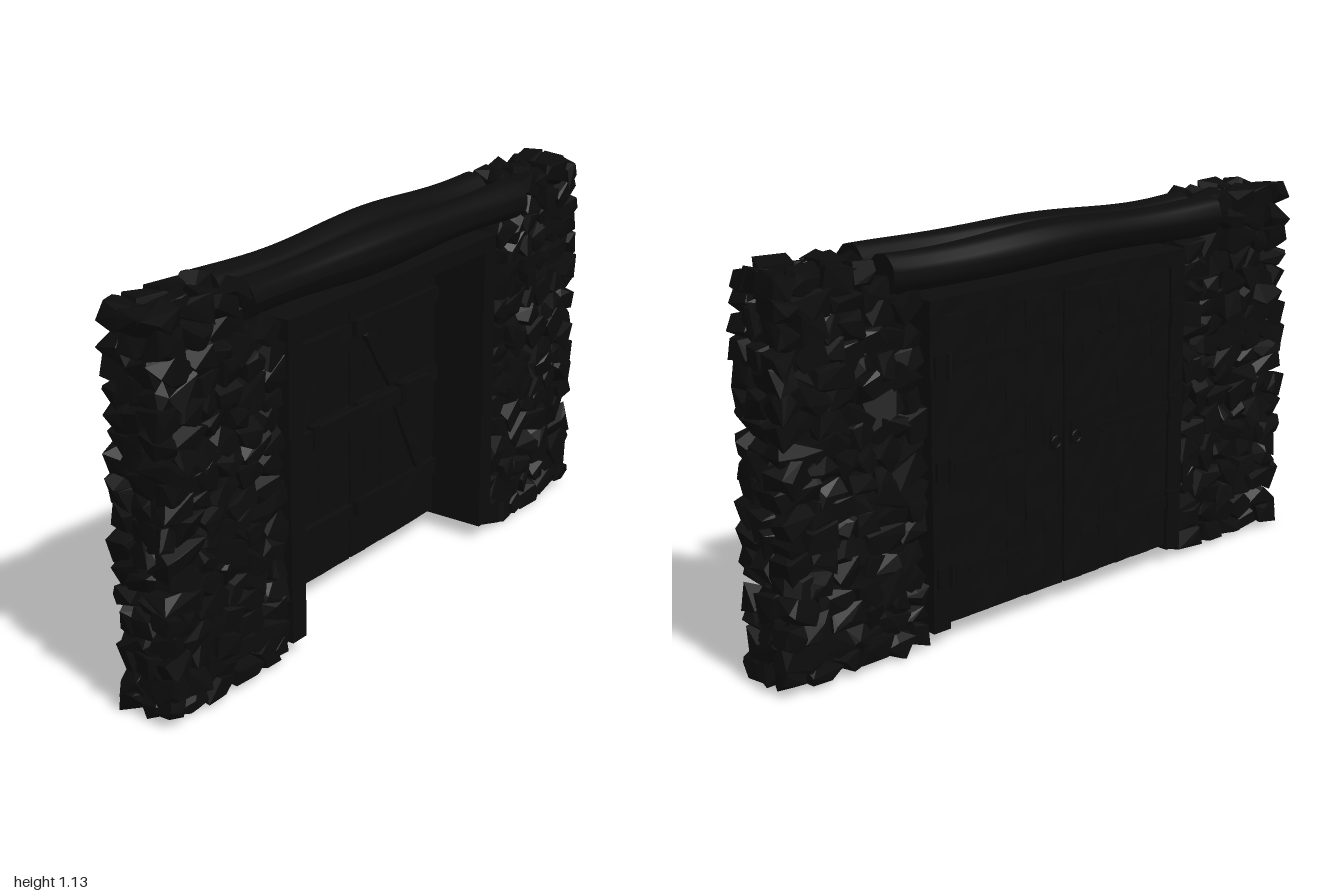
import * as THREE from 'three';
import { mergeGeometries } from 'three/addons/utils/BufferGeometryUtils.js';
import { ConvexGeometry } from 'three/addons/geometries/ConvexGeometry.js';

const stoneMat = new THREE.MeshStandardMaterial({ color: 0x0c0c0d, flatShading: true });
const woodMat = new THREE.MeshStandardMaterial({ color: 0x0c0c0c, flatShading: true });
const logMat = new THREE.MeshStandardMaterial({ color: 0x0c0c0c });
const ironMat = new THREE.MeshStandardMaterial({ color: 0x0b0b0b, flatShading: true });

// Small seeded random numbers
let seed = 7;
const rnd = () => (seed = (seed * 16807) % 2147483647) / 2147483647;
const range = (a, b) => a + (b - a) * rnd();
const noise = (x, y, z) => {
  const s = Math.sin(x * 127.1 + y * 311.7 + z * 74.7) * 43758.5453;
  return (s - Math.floor(s)) * 2 - 1;
};

function add(parent, name, geo, mat) {
  const mesh = new THREE.Mesh(geo, mat);
  mesh.name = name;
  parent.add(mesh);
  return mesh;
}

// Box given by its limits
function block(x0, x1, y0, y1, z0, z1, segX = 1, segY = 1) {
  return new THREE.BoxGeometry(x1 - x0, y1 - y0, z1 - z0, segX, segY, 1)
    .translate((x0 + x1) / 2, (y0 + y1) / 2, (z0 + z1) / 2);
}

// Hand-hewn edges: shift coincident corners by the same small amount
function hew(geo, amount, salt = 0) {
  const p = geo.attributes.position;
  for (let i = 0; i < p.count; i++) {
    const [x, y, z] = [p.getX(i), p.getY(i), p.getZ(i)].map(v => Math.round(v * 1e4) / 1e4);
    p.setXYZ(i, x + amount * noise(x + salt, y, z), y + amount * noise(y, z + salt, x),
      z + amount * noise(z, x, y + salt));
  }
  geo.computeVertexNormals();
  return geo;
}

// Angular stone: hull of a box with its corners knocked about, each trimmed near the wall's faces
function stone(x, y, z, hx, hy, hz) {
  const pts = [];
  const turn = new THREE.Euler(range(-0.35, 0.35), range(-0.35, 0.35), range(-0.6, 0.6));
  const put = (a, b, c) => {
    const v = new THREE.Vector3(a, b, c).applyEuler(turn).add(new THREE.Vector3(x, y, z));
    v.x = Math.sign(x) * THREE.MathUtils.clamp(Math.abs(v.x), range(0.496, 0.515), range(0.97, 0.998));
    v.y = THREE.MathUtils.clamp(v.y, range(0.003, 0.025), range(1.11, 1.134));
    v.z = THREE.MathUtils.clamp(v.z, -range(0.096, 0.11), range(0.091, 0.106));
    pts.push(v);
  };
  for (const a of [-1, 1]) for (const b of [-1, 1]) for (const c of [-1, 1])
    put(a * hx * range(0.45, 1.15), b * hy * range(0.45, 1.15), c * hz * range(0.5, 1.1));
  for (let i = 0; i < 4; i++)
    put(range(-1, 1) * hx, range(-1, 1) * hy, (i % 2 ? 1 : -1) * hz * range(0.9, 1.15));
  return new ConvexGeometry(pts);
}

// Rubble wall in uneven courses, notched at the top for the logs
function wall(side) {
  const flip = (a, b) => (side > 0 ? [a, b] : [-b, -a]);
  const parts = [
    block(...flip(0.54, 0.945), 0.05, 0.965, -0.06, 0.058),
    block(...flip(0.67, 0.94), 0.95, 1.075, -0.055, 0.055)
  ].map(g => {
    const n = g.toNonIndexed();
    n.deleteAttribute('uv');
    return n;
  });
  const courses = 18;
  for (let r = 0; r < courses; r++) {
    const y = 0.047 + r * 0.0607;
    for (const z of [-0.066, 0, 0.063]) {
      let x = 0.505;
      while (x < 0.97) {
        let w = range(0.055, 0.12);
        if (0.985 - x - w < 0.05) w = 0.985 - x;
        const cx = x + w / 2;
        x += w;
        if (y > (z === 0 ? 1.03 : 0.98) && cx < 0.65) continue;
        parts.push(stone(side * cx, y + range(-0.012, 0.012), z + range(-0.007, 0.007),
          w / 2 + 0.01, range(0.034, 0.046), range(0.032, 0.044)));
      }
    }
  }
  return mergeGeometries(parts);
}

// Bent log lying along x, following centre line and radius functions
function log(x0, x1, centerY, centerZ, radius) {
  const geo = new THREE.CylinderGeometry(1, 1, x1 - x0, 28, 40).rotateZ(Math.PI / 2)
    .translate((x0 + x1) / 2, 0, 0);
  const p = geo.attributes.position;
  for (let i = 0; i < p.count; i++) {
    const x = p.getX(i), a = Math.atan2(p.getZ(i), p.getY(i));
    const r = radius(x) * (1 + 0.03 * Math.sin(3 * a + 4 * x) + 0.025 * Math.sin(8 * a - 3 * x));
    p.setY(i, centerY(x) + p.getY(i) * r);
    p.setZ(i, centerZ(x) + p.getZ(i) * r);
  }
  geo.computeVertexNormals();
  return geo;
}

// One door leaf for the given side
function doorLeaf(side) {
  const leaf = new THREE.Group();
  const flip = (a, b) => (side > 0 ? [a, b] : [-b, -a]);
  const bar = (a, b, ...rest) => block(...flip(a, b), ...rest);

  // Upright planks with slightly ragged joints
  const inner = 0.004, w = (0.434 - inner) / 6;
  for (let i = 0; i < 6; i++) {
    const d = range(-0.002, 0.002);
    const g = bar(inner + i * w, inner + (i + 1) * w, 0.063, 0.925, -0.1 + d, -0.073 + d, 1, 14);
    add(leaf, 'plank', hew(g, 0.0014, i), woodMat);
  }

  // Cross rails on the front
  for (const y of [0.22, 0.53, 0.78])
    add(leaf, 'rail', hew(bar(0.015, 0.425, y - 0.024, y + 0.024, -0.075, -0.055, 6), 0.002), woodMat);

  // Diagonal braces between the rails
  for (const [xa, ya, xb, yb] of [[0.35, 0.25, 0.225, 0.5], [0.215, 0.545, 0.08, 0.76]]) {
    const brace = add(leaf, 'brace',
      hew(new THREE.BoxGeometry(Math.hypot(xb - xa, yb - ya), 0.045, 0.016, 5), 0.002), woodMat);
    brace.position.set(side * (xa + xb) / 2, (ya + yb) / 2, -0.067);
    brace.rotation.z = Math.atan2(yb - ya, side * (xb - xa));
  }

  // Strap hinges with knuckles and rivets on the back
  for (const y of [0.205, 0.505, 0.795]) {
    const strap = new THREE.Shape([[0.46, -0.018], [0.46, 0.018], [0.17, 0.01], [0.15, 0.018],
      [0.125, 0], [0.15, -0.018], [0.17, -0.01]].map(([x, v]) => new THREE.Vector2(side * x, v)));
    const g = new THREE.ExtrudeGeometry(strap, { depth: 0.008, bevelEnabled: false });
    add(leaf, 'hingeStrap', g.translate(0, y, -0.111), ironMat);
    add(leaf, 'hingePlate', bar(0.447, 0.485, y - 0.03, y + 0.03, -0.116, -0.105), ironMat);
    add(leaf, 'hingeKnuckle', new THREE.CylinderGeometry(0.01, 0.01, 0.07, 10)
      .translate(side * 0.437, y, -0.116), ironMat);
    for (const x of [0.19, 0.28, 0.37])
      add(leaf, 'rivet', new THREE.CylinderGeometry(0.006, 0.007, 0.006, 8).rotateX(Math.PI / 2)
        .translate(side * x, y, -0.113), ironMat);
  }

  // Ring handle and its plate
  add(leaf, 'handlePlate', bar(0.025, 0.055, 0.475, 0.545, -0.108, -0.098), ironMat);
  add(leaf, 'handleRing', new THREE.TorusGeometry(0.017, 0.004, 6, 16)
    .translate(side * 0.04, 0.498, -0.114), ironMat);

  // Bracket for the locking bar
  add(leaf, 'barBracket', bar(0.2, 0.225, 0.497, 0.563, -0.056, -0.028), ironMat);
  return leaf;
}

export function createModel() {
  const model = new THREE.Group();
  model.name = 'stoneGateway';

  add(model, 'leftWall', wall(1), stoneMat);
  add(model, 'rightWall', wall(-1), stoneMat);

  // Lintel logs
  add(model, 'frontLog', log(-0.63, 0.61,
    x => 1.057 + 0.004 * Math.sin(5 * x),
    x => 0.06 + 0.016 * Math.sin(3.6 * x - 0.1),
    x => 0.057 + 0.006 * Math.cos(8 * x + 0.6)), logMat);
  add(model, 'backLog', log(-0.625, 0.62,
    x => 1.06 + 0.005 * Math.cos(7 * x),
    x => -0.071 - 0.006 * Math.sin(6 * x + 0.3),
    x => 0.057 + 0.004 * Math.cos(8 * x - 0.8)), logMat);

  // Deep timber frame
  const frame = new THREE.Group();
  frame.name = 'doorFrame';
  for (const side of [-1, 1])
    add(frame, 'jamb', hew(block(side * 0.467 - 0.029, side * 0.467 + 0.029, 0.047, 0.935, -0.107, 0.1, 1, 10),
      0.001), woodMat);
  add(frame, 'headBeam', hew(block(-0.496, 0.496, 0.93, 0.977, -0.107, 0.1, 14), 0.001), woodMat);
  model.add(frame);

  // Double doors near the back, with a bar across the front
  for (const side of [1, -1]) {
    const leaf = doorLeaf(side);
    leaf.name = side > 0 ? 'leftDoor' : 'rightDoor';
    model.add(leaf);
  }
  add(model, 'lockingBar', hew(block(-0.3, 0.36, 0.508, 0.552, -0.054, -0.034, 10), 0.002), woodMat);
  return model;
}
